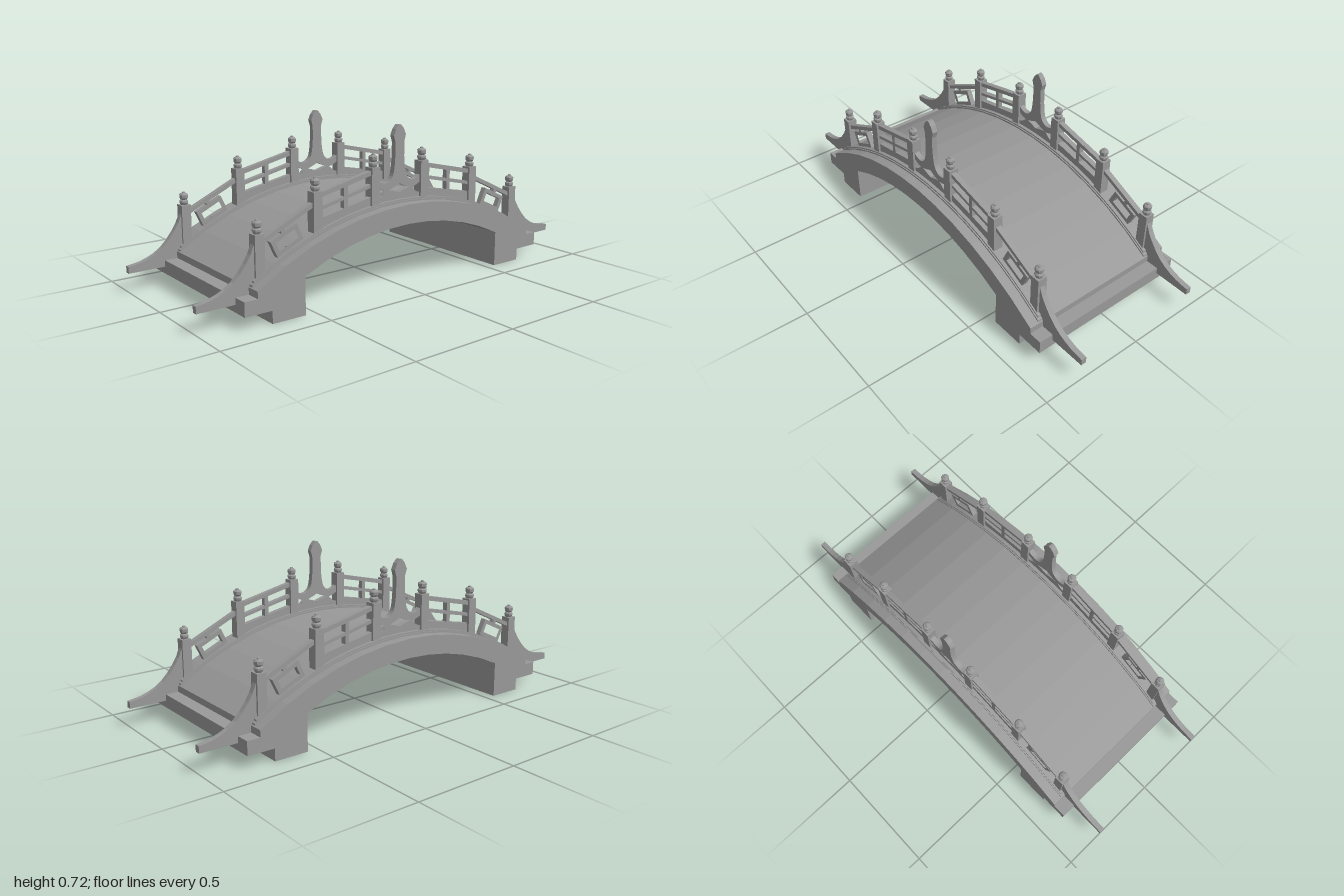
import * as THREE from 'three';

const mat = new THREE.MeshStandardMaterial({ color: 0x999999, flatShading: true });
const RAIL_Z = 0.31, RAIL_T = 0.025;

// Height of a circular arch with crown height y0 and radius r
const arc = (x, y0, r) => y0 - (r - Math.sqrt(r * r - x * x));
const deckY = (x) => arc(x, 0.38, 1.39);
const underY = (x) => arc(x, 0.293, 1.228);

// Points of a curve y = f(x) from a to b
function sweep(f, a, b, n) {
  const pts = [];
  for (let i = 0; i <= n; i++) {
    const x = a + ((b - a) * i) / n;
    pts.push([x, f(x)]);
  }
  return pts;
}

const toVec = (pts) => pts.map(([x, y]) => new THREE.Vector2(x, y));
const smooth = (pts, n) => new THREE.SplineCurve(toVec(pts)).getPoints(n).map((p) => [p.x, p.y]);
const mirrorX = (pts) => pts.map(([x, y]) => [-x, y]).reverse();

// Flat outline extruded along z, centred on z = 0
function slab(name, pts, depth, hole) {
  const shape = new THREE.Shape(toVec(pts));
  if (hole) shape.holes.push(new THREE.Path(toVec(hole)));
  const geo = new THREE.ExtrudeGeometry(shape, { depth, bevelEnabled: false });
  geo.translate(0, 0, -depth / 2);
  const mesh = new THREE.Mesh(geo, mat);
  mesh.name = name;
  return mesh;
}

// Sloping bar between two points, t = vertical thickness below the line
const bar = (name, a, b, t) =>
  slab(name, [a, b, [b[0], b[1] - t], [a[0], a[1] - t]], RAIL_T);

// Rectangle corners around (cx, cy), turned by angle
function rect(cx, cy, w, h, angle) {
  const c = Math.cos(angle), s = Math.sin(angle);
  return [[-1, -1], [1, -1], [1, 1], [-1, 1]].map(([i, j]) => {
    const u = (i * w) / 2, v = (j * h) / 2;
    return [cx + u * c - v * s, cy + u * s + v * c];
  });
}

function post(x, top) {
  const g = new THREE.Group();
  g.name = 'post';
  const base = deckY(Math.abs(x) + 0.025) - 0.01;
  const shaft = new THREE.Mesh(new THREE.BoxGeometry(0.044, top - base, 0.045), mat);
  shaft.name = 'postShaft';
  shaft.position.set(x, (top + base) / 2, 0);
  const profile = [[0, 0], [0.015, 0], [0.02, 0.01], [0.02, 0.018], [0.014, 0.024],
    [0.019, 0.031], [0.02, 0.045], [0.015, 0.051], [0.008, 0.053], [0.007, 0.058], [0, 0.06]];
  const finial = new THREE.Mesh(new THREE.LatheGeometry(toVec(profile), 8), mat);
  finial.name = 'postFinial';
  finial.position.set(x, top, 0);
  g.add(shaft, finial);
  return g;
}

// Railing pieces on one half, s = +1 or -1
function railingHalf(s) {
  const g = new THREE.Group();
  g.name = s > 0 ? 'leftRailingHalf' : 'rightRailingHalf';
  const m = (pts) => pts.map(([x, y]) => [s * x, y]);
  for (const [x, top] of [[0.139, 0.549], [0.441, 0.485], [0.72, 0.353]]) g.add(post(s * x, top));

  // Inner panel: top rail, middle rail, upright and solid base
  g.add(bar('topRail', [s * 0.139, 0.54], [s * 0.441, 0.472], 0.02));
  g.add(bar('middleRail', [s * 0.139, 0.482], [s * 0.441, 0.414], 0.015));
  g.add(slab('railUpright', m([[0.283, 0.38], [0.303, 0.38], [0.303, 0.495], [0.283, 0.495]]), RAIL_T));
  g.add(slab('basePanel', m([[0.139, 0.426], ...sweep(deckY, 0.139, 0.441, 4), [0.441, 0.366]]), RAIL_T));

  // Outer panel: top rail and tilted frame held by two struts
  g.add(bar('outerTopRail', [s * 0.441, 0.45], [s * 0.72, 0.32], 0.02));
  const a = -0.44;
  g.add(slab('tiltedFrame', m(rect(0.587, 0.305, 0.138, 0.078, a)), RAIL_T,
    m(rect(0.587, 0.305, 0.1, 0.042, a))));
  g.add(slab('upperStrut', m(rect(0.61, 0.352, 0.018, 0.034, a)), RAIL_T));
  g.add(slab('lowerStrut', m(rect(0.568, 0.264, 0.018, 0.034, a)), RAIL_T));

  // Sweeping wing beyond the last post
  const curve = smooth([[0.735, 0.332], [0.768, 0.258], [0.838, 0.175], [0.92, 0.132], [1, 0.118]], 10);
  g.add(slab('endWing', m([[0.735, 0.1], ...curve, [1, 0.088], [0.83, 0.088]]), RAIL_T));
  return g;
}

// Spire with curling shoulders, and the ogee panel below it
function centrePiece() {
  const g = new THREE.Group();
  g.name = 'centrePiece';
  const side = [
    ...smooth([[0.13, 0.497], [0.1, 0.476], [0.07, 0.472], [0.045, 0.488], [0.033, 0.515], [0.026, 0.57], [0.025, 0.645]], 14),
    [0.034, 0.675], [0.022, 0.702], [0.006, 0.72],
  ];
  const under = smooth([[0, 0.462], [0.035, 0.447], [0.07, 0.437], [0.1, 0.445], [0.13, 0.462]], 8);
  g.add(slab('spire', [...side, ...mirrorX(side), ...mirrorX(under), ...under.slice(1, -1)], RAIL_T));
  const top = smooth([[0.13, 0.405], [0.1, 0.413], [0.07, 0.437], [0.045, 0.436], [0, 0.422]], 10);
  g.add(slab('ogeePanel', [...top, ...mirrorX(top).slice(1), ...sweep(deckY, -0.13, 0.13, 4)], RAIL_T));
  return g;
}

// Curved kerb strip following the deck
function kerb(name, rise, depth, end) {
  const top = sweep((x) => deckY(x) + rise, -end, end, 16);
  const bottom = sweep((x) => deckY(x) - 0.005, end, -end, 16);
  return slab(name, [...top, ...bottom], depth);
}

export function createModel() {
  const model = new THREE.Group();
  model.name = 'archBridge';

  // Arched deck with stepped abutments
  const end = [[0.77, 0.117], [0.83, 0.117], [0.83, 0.055], [0.705, 0.055], [0.705, 0], [0.548, 0]];
  model.add(slab('archedDeck', [
    ...sweep(deckY, -0.77, 0.77, 12), ...end,
    ...sweep(underY, 0.548, -0.548, 10), ...mirrorX(end),
  ], 0.78));

  for (const z of [RAIL_Z, -RAIL_Z]) {
    const railing = new THREE.Group();
    railing.name = z > 0 ? 'frontRailing' : 'backRailing';
    railing.position.z = z;
    railing.add(kerb('lowerKerb', 0.007, 0.07, 0.765), kerb('upperKerb', 0.014, 0.058, 0.755));
    railing.add(railingHalf(1), railingHalf(-1), centrePiece());
    model.add(railing);
  }
  return model;
}
